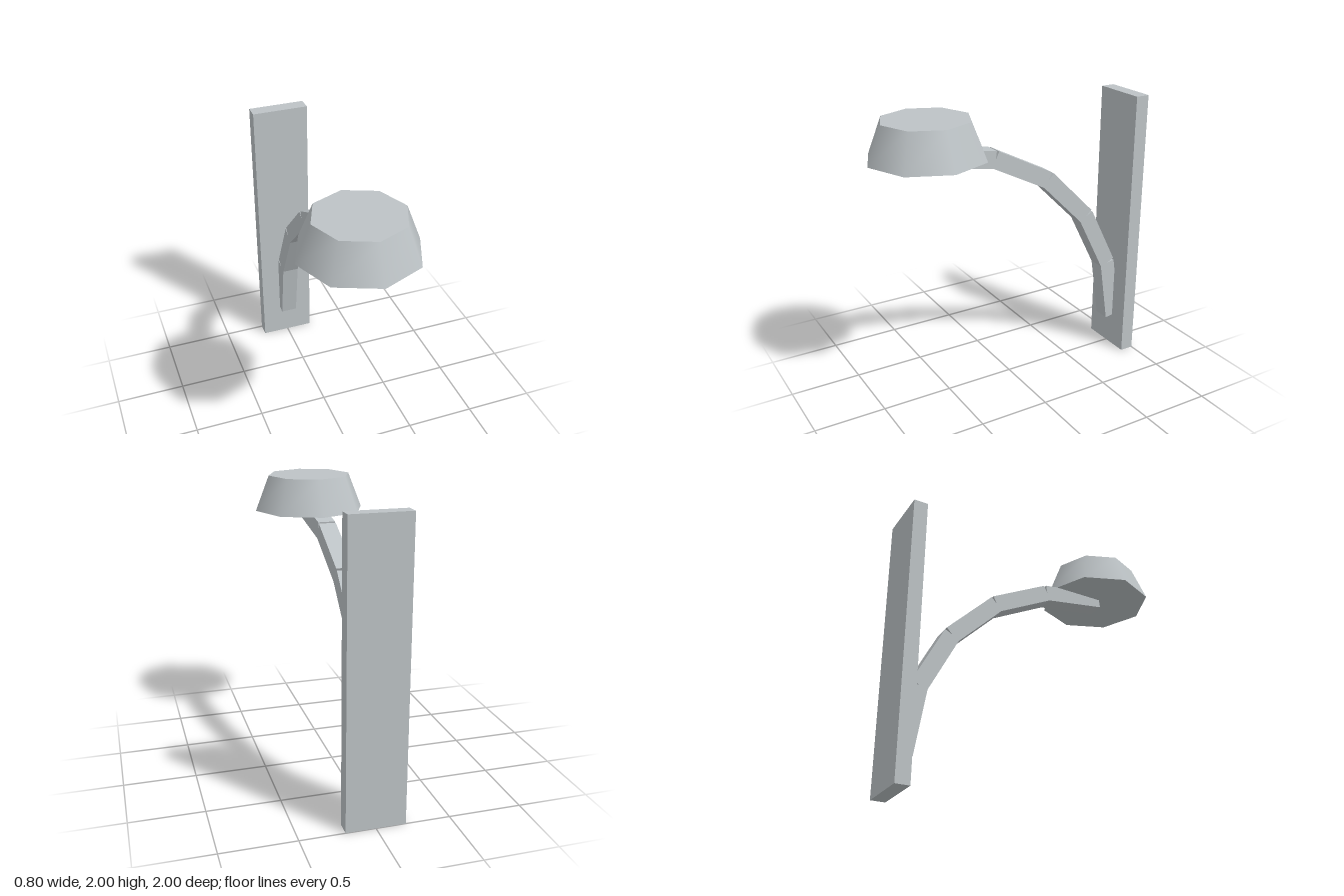
import * as THREE from 'three';

export function createModel() {
  const model = new THREE.Group();
  const paleGrey = new THREE.MeshStandardMaterial({ color: 0xbdc3c6 });
  paleGrey.name = 'paleGrey';

  const add = (name, geometry, parent, x, y, z) => {
    const mesh = new THREE.Mesh(geometry, paleGrey);
    mesh.name = name;
    mesh.position.set(x, y, z);
    parent.add(mesh);
    return mesh;
  };

  // Upright wall plate at the back
  add('wallPlate', new THREE.BoxGeometry(0.4, 2, 0.1), model, 0, 1, -0.95);

  // Quarter-circle arm: five straight boxes laid along the chords of the arc
  const arm = new THREE.Group();
  arm.name = 'curvedArm';
  model.add(arm);
  const radius = 1.5, segments = 5, step = Math.PI / 2 / segments;
  const chord = 2 * radius * Math.sin(step / 2);
  const mid = radius * Math.cos(step / 2);
  const bar = new THREE.BoxGeometry(0.12, 0.12, chord);
  for (let i = 0; i < segments; i++) {
    const a = (i + 0.5) * step;
    const piece = add(`armSegment${i + 1}`, bar, arm,
      0, 0.25 + mid * Math.cos(a), 0.6 - mid * Math.sin(a));
    piece.rotation.x = -a;
  }

  // Eight-sided tapered lamp head with smoothly shaded sides
  add('lampHead', new THREE.CylinderGeometry(0.3, 0.4, 0.25, 8), model, 0, 1.875, 0.6);

  return model;
}
